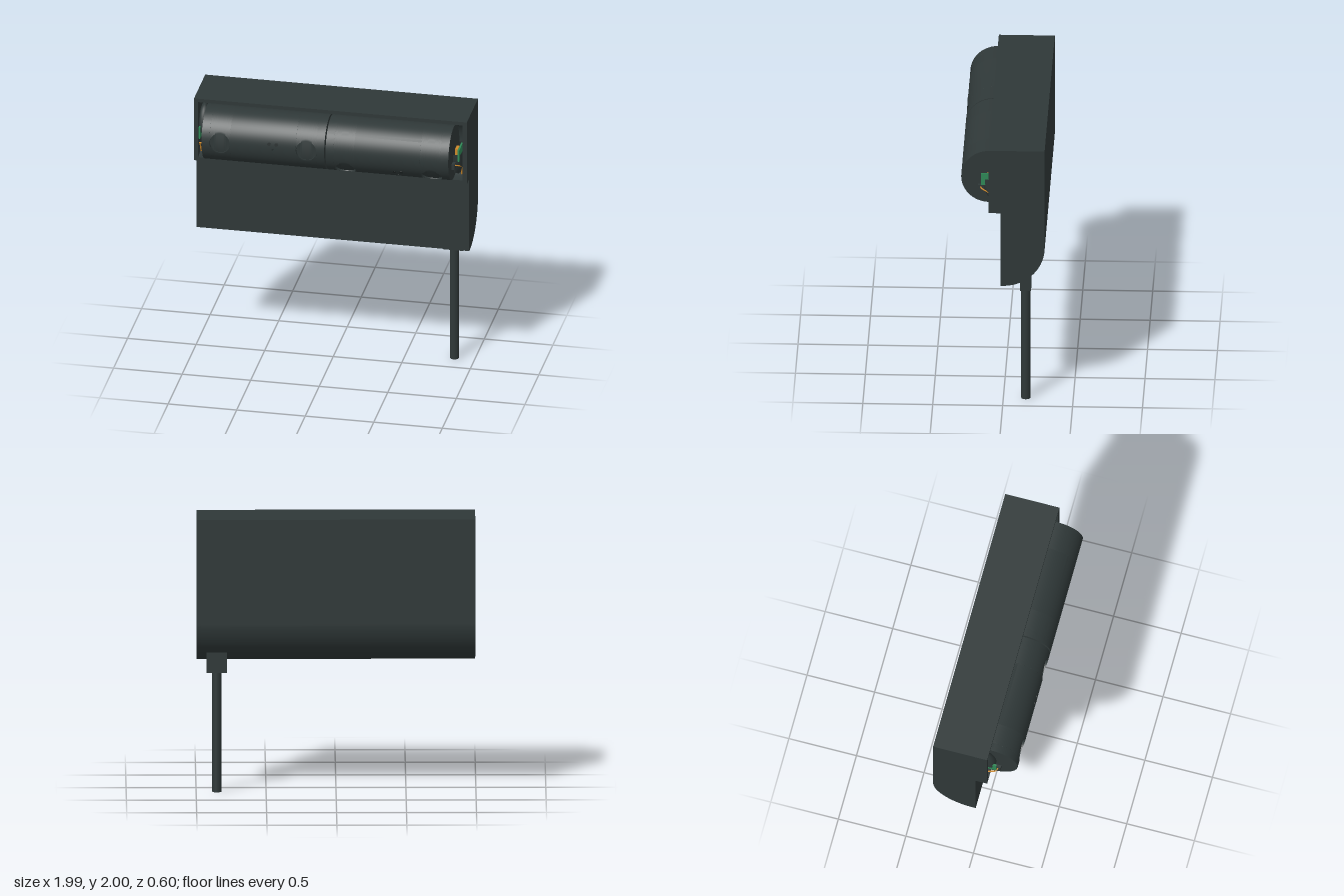
import * as THREE from 'three';
import { toCreasedNormals } from 'three/addons/utils/BufferGeometryUtils.js';

const mat = (name, color, side = THREE.FrontSide) => {
  const m = new THREE.MeshStandardMaterial({ color, side });
  m.name = name;
  return m;
};

const AXIS_Y = 1.755, AXIS_Z = 0.1, R = 0.2;

export function createModel() {
  const group = new THREE.Group();
  const charcoal = mat('charcoal', 0x2f3838);
  const dark = mat('dark hole', 0x232a2a);
  const green = mat('circuit green', 0x2f8a57);
  const copper = mat('copper', 0xd08a2a);

  const add = (parent, name, geo, material, x = 0, y = 0, z = 0) => {
    const mesh = new THREE.Mesh(geo, material);
    mesh.name = name;
    mesh.position.set(x, y, z);
    parent.add(mesh);
    return mesh;
  };

  // Housing: side profile pushed along x; the middle section has the lamp trough
  const profile = (withTrough) => {
    const s = new THREE.Shape();
    s.moveTo(-0.015, 0.94);
    s.lineTo(-0.015, 1.51);
    s.lineTo(-0.1, 1.51);
    if (withTrough) {
      s.lineTo(-0.1, 1.537);
      s.absarc(-AXIS_Z, AXIS_Y, 0.218, -Math.PI / 2, Math.PI / 2, false);
    }
    s.lineTo(-0.1, 2);
    s.lineTo(0.3, 2);
    s.lineTo(0.3, 1.24);
    s.absarc(0, 1.24, 0.3, 0, -Math.PI / 2, true);
    s.closePath();
    return s;
  };
  const housing = (name, withTrough, x0, x1) => {
    const g = new THREE.ExtrudeGeometry(profile(withTrough), {
      depth: x1 - x0, bevelEnabled: false, curveSegments: 32,
    });
    g.rotateY(Math.PI / 2);
    add(group, name, toCreasedNormals(g, 0.5), charcoal, x0);
  };
  housing('housing', true, -0.965, 0.965);
  housing('housingEndRight', false, -0.995, -0.965);
  housing('housingEndLeft', false, 0.965, 0.995);

  // Lamp barrel: cross-sections lofted along x, with two flat-bottomed round bores
  const half = 0.4475, boreR = 0.075, floor = 0.18, bores = [-0.315, 0.315];
  const barrelGeometry = () => {
    const N = 72, rings = [];
    const ring = (x, w, f) => {
      const a = Math.asin(w / R), pts = [];
      for (let j = 0; j <= N; j++) {
        const t = a + (2 * Math.PI - 2 * a) * j / N;
        pts.push([x, R * Math.sin(t), R * Math.cos(t)]);
      }
      pts.push([x, -w, f], [x, w, f], pts[0]);
      rings.push(pts);
    };
    ring(-half, 0, R);
    for (const b of bores) {
      ring(b - boreR, 0, R);
      for (let k = 0; k <= 32; k++) {
        const t = Math.PI * k / 32;
        ring(b - boreR * Math.cos(t), k % 32 ? boreR * Math.sin(t) : 0, floor);
      }
      ring(b + boreR, 0, R);
    }
    ring(half, 0, R);
    const pos = [];
    for (let i = 0; i < rings.length - 1; i++) {
      for (let j = 0; j < rings[i].length - 1; j++) {
        const a = rings[i][j], b = rings[i + 1][j];
        const c = rings[i + 1][j + 1], d = rings[i][j + 1];
        pos.push(...a, ...b, ...c, ...a, ...c, ...d);
      }
    }
    const g = new THREE.BufferGeometry();
    g.setAttribute('position', new THREE.Float32BufferAttribute(pos, 3));
    return toCreasedNormals(g, 0.5);
  };

  const barrel = (name, x, tilt) => {
    const lamp = new THREE.Group();
    lamp.name = name;
    lamp.position.set(x, AXIS_Y, AXIS_Z);
    lamp.rotation.x = tilt;
    add(lamp, 'barrel', barrelGeometry(), charcoal);
    for (const s of [-1, 1]) {
      add(lamp, 'barrelEnd', new THREE.CircleGeometry(R, 72), charcoal, s * half).rotation.y = s * Math.PI / 2;
    }
    // Small sensor holes between the bores
    for (const [dx, dy, r] of [[0.045, 0.03, 0.013], [0.097, 0.03, 0.013], [0.071, -0.01, 0.006]]) {
      const dot = add(lamp, 'sensorHole', new THREE.CylinderGeometry(r, r, 0.004, 20), dark,
        dx, dy, Math.sqrt(R * R - dy * dy));
      dot.rotation.x = Math.PI / 2 - Math.asin(dy / R);
    }
    group.add(lamp);
  };
  barrel('lampRight', -0.4525, 0);
  barrel('lampLeft', 0.4525, 0.78);

  // Pivot, circuit board and wires at each end of the barrels
  const wire = (name, parent, pts) => {
    const curve = new THREE.CatmullRomCurve3(pts.map((p) => new THREE.Vector3(...p)), false, 'centripetal');
    add(parent, name, new THREE.TubeGeometry(curve, 32, 0.005, 8), copper);
  };
  for (const s of [-1, 1]) {
    const end = new THREE.Group();
    end.name = s > 0 ? 'pivotLeft' : 'pivotRight';
    const hub = new THREE.LatheGeometry([[0, 0], [0.19, 0], [0.19, 0.025], [0.175, 0.045], [0.15, 0.055], [0, 0.055]]
      .map(([r, h]) => new THREE.Vector2(r, h)), 48, 0, Math.PI);
    hub.rotateZ(-s * Math.PI / 2);
    hub.rotateY(0);
    // Keep the half disc behind the opening
    const hubMesh = add(end, 'hub', hub, mat2(), s * 0.902, AXIS_Y, 0.03);
    hubMesh.scale.z = 0.6;
    add(end, 'circuitBoard', new THREE.BoxGeometry(0.012, 0.09, 0.13), green, s * 0.945, 1.755, 0.09);
    add(end, 'terminal', new THREE.BoxGeometry(0.02, 0.07, 0.06), copper, s * 0.923, 1.755, 0.085);
    add(end, 'wireClip', new THREE.BoxGeometry(0.022, 0.045, 0.12), charcoal, s * 0.912, 1.675, 0.12);
    wire('lowerWire', end, [
      [s * 0.95, 1.57, 0.06], [s * 0.953, 1.64, 0.085], [s * 0.948, 1.655, 0.11],
      [s * 0.945, 1.675, 0.145], [s * 0.93, 1.68, 0.157], [s * 0.9, 1.685, 0.165],
    ]);
    if (s < 0) {
      wire('upperWire', end, [
        [s * 0.9, 1.84, 0.085], [s * 0.93, 1.84, 0.085], [s * 0.955, 1.838, 0.085],
      ]);
      wire('sideWire', end, [[s * 0.932, 1.84, 0.085], [s * 0.934, 1.76, 0.09], [s * 0.932, 1.69, 0.085]]);
    }
    group.add(end);
  }
  function mat2() {
    charcoal.side = THREE.DoubleSide; // the hub is an open half lathe
    return charcoal;
  }

  // Cable and its strain relief under the housing
  add(group, 'strainRelief', new THREE.BoxGeometry(0.145, 0.17, 0.08), charcoal, 0.852, 0.955, -0.16);
  add(group, 'cable', new THREE.CylinderGeometry(0.033, 0.033, 0.89, 32), charcoal, 0.852, 0.445, -0.16);

  return group;
}
